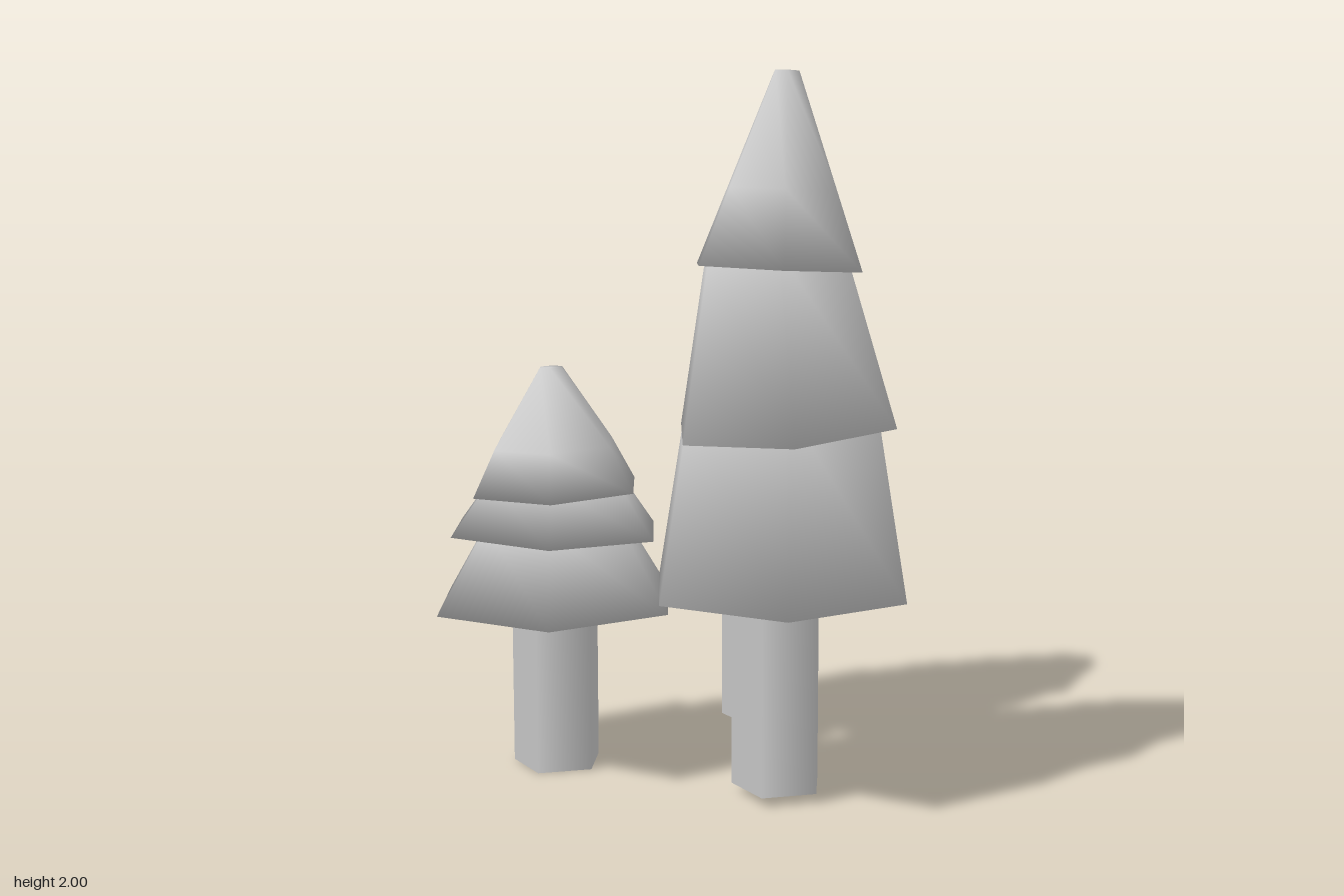
import * as THREE from 'three';

const material = new THREE.MeshStandardMaterial({ color: 0xcccccc });

// Six-sided, smoothly shaded closed shell; profile is [radius, height] from rim to tip,
// with heights measured from the rim. Corners point along x.
function foliageTier(name, { at, profile, tilt = [0, 0] }) {
  const points = [[0, 0], ...profile, [0, profile[profile.length - 1][1]]]
    .map(([r, y]) => new THREE.Vector2(r, y));
  const geometry = new THREE.LatheGeometry(points, 6).rotateY(Math.PI / 2);
  const mesh = new THREE.Mesh(geometry, material);
  mesh.name = name;
  mesh.position.set(...at);
  mesh.rotation.set(tilt[0], 0, tilt[1]);
  return mesh;
}

// Five-sided trunk with one corner towards +x
function trunk(x, z, bottom, top) {
  const geometry = new THREE.CylinderGeometry(0.133, 0.133, top - bottom, 5).rotateY(Math.PI / 2);
  const mesh = new THREE.Mesh(geometry, material);
  mesh.name = 'trunk';
  mesh.position.set(x, (top + bottom) / 2, z);
  return mesh;
}

const trees = [
  {
    name: 'tallFrontTree',
    trunk: [0.027, 0.293, 0.025, 0.7],
    tiers: [
      { at: [0.028, 0.585, 0.288], profile: [[0.383, 0], [0.285, 0.55]] },
      { at: [0.047, 1.04, 0.29], profile: [[0.33, 0], [0.205, 0.5]], tilt: [0, 0.084] },
      { at: [0.017, 1.474, 0.292], profile: [[0.25, 0], [0.165, 0.21], [0.037, 0.525]], tilt: [0, -0.05] },
    ],
  },
  {
    name: 'mediumBackTree',
    trunk: [0.358, -0.288, 0.025, 0.6],
    tiers: [
      { at: [0.37, 0.46, -0.29], profile: [[0.377, 0], [0.28, 0.4]] },
      { at: [0.37, 0.783, -0.295], profile: [[0.325, 0], [0.24, 0.34]], tilt: [0.035, 0] },
      { at: [0.362, 1.065, -0.287], profile: [[0.277, 0], [0.2, 0.205], [0.083, 0.522]], tilt: [-0.086, 0] },
    ],
  },
  {
    name: 'smallBackTree',
    trunk: [-0.368, -0.288, 0, 0.58],
    tiers: [
      { at: [-0.37, 0.485, -0.29], profile: [[0.377, 0], [0.22, 0.245]] },
      { at: [-0.37, 0.697, -0.29], profile: [[0.33, 0], [0.21, 0.155]], tilt: [0, -0.03] },
      { at: [-0.367, 0.82, -0.29], profile: [[0.262, 0], [0.19, 0.13], [0.036, 0.353]], tilt: [0, 0.03] },
    ],
  },
];

export function createModel() {
  const model = new THREE.Group();
  model.name = 'pineTrees';
  const tierNames = ['lowerFoliage', 'middleFoliage', 'topFoliage'];
  for (const tree of trees) {
    const group = new THREE.Group();
    group.name = tree.name;
    group.add(trunk(...tree.trunk));
    tree.tiers.forEach((tier, i) => group.add(foliageTier(tierNames[i], tier)));
    model.add(group);
  }
  return model;
}
